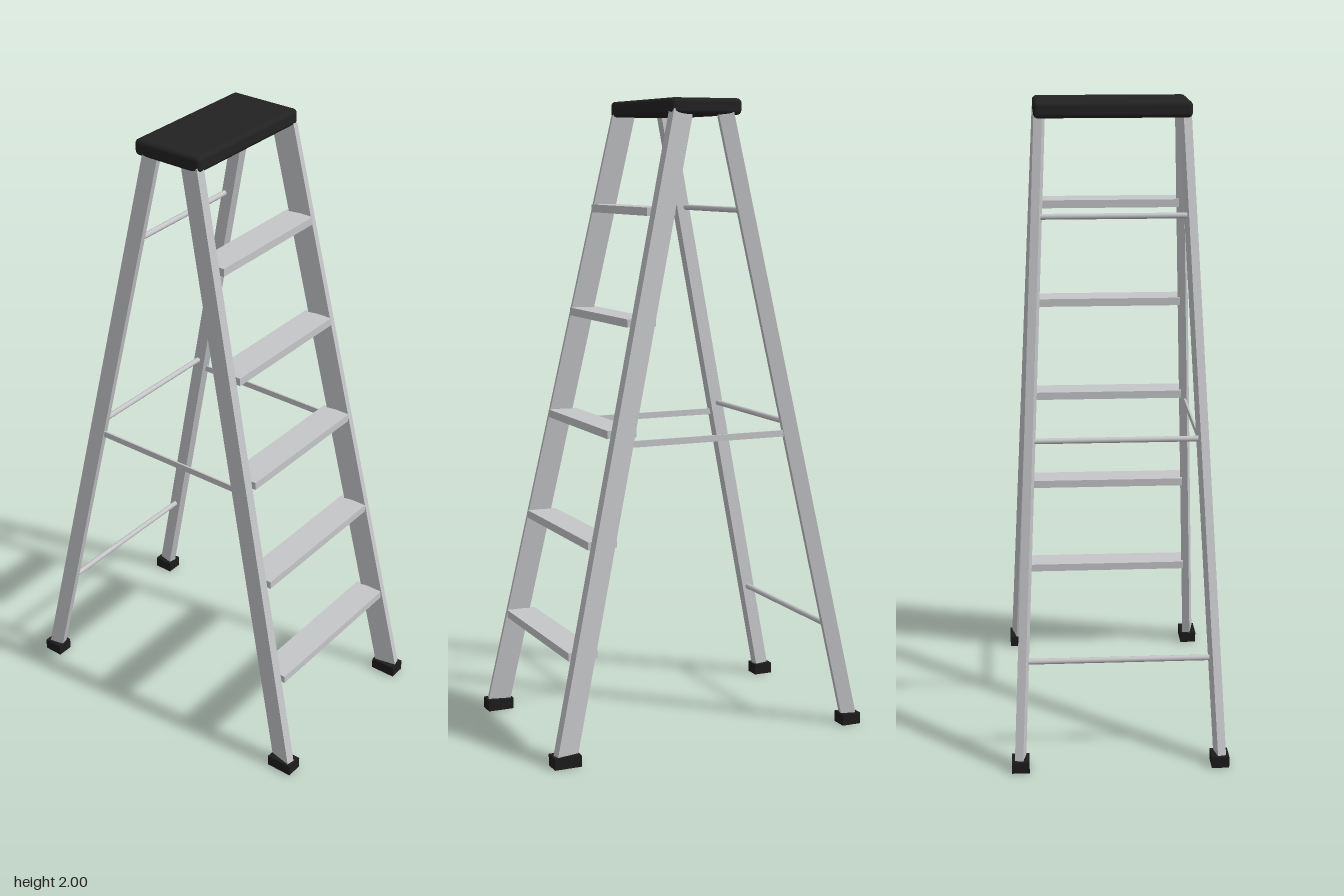
import * as THREE from 'three';
import { RoundedBoxGeometry } from 'three/addons/geometries/RoundedBoxGeometry.js';

function material(name, color) {
  const m = new THREE.MeshStandardMaterial({ color });
  m.name = name;
  return m;
}

export function createModel() {
  const ladder = new THREE.Group();
  ladder.name = 'stepladder';

  const aluminium = material('aluminium', 0xc4c6c8);
  const plastic = material('black plastic', 0x222222);
  const rubber = material('black rubber', 0x1c1c1c);

  function add(name, geometry, mat, x, y, z) {
    const mesh = new THREE.Mesh(geometry, mat);
    mesh.name = name;
    mesh.position.set(x, y, z);
    ladder.add(mesh);
    return mesh;
  }

  // Straight rail between two points; its sides stay upright in plan
  function addRail(name, bottom, top, width, depth) {
    const mid = bottom.clone().add(top).multiplyScalar(0.5);
    const geometry = new THREE.BoxGeometry(width, depth, bottom.distanceTo(top));
    add(name, geometry, aluminium, mid.x, mid.y, mid.z).lookAt(top);
  }

  for (const [side, s] of [['left', 1], ['right', -1]]) {
    // Front and back rails, splayed outwards
    addRail(side + 'FrontRail', new THREE.Vector3(s * 0.309, 0.02, 0.488),
      new THREE.Vector3(s * 0.221, 1.96, 0.062), 0.026, 0.071);
    addRail(side + 'BackRail', new THREE.Vector3(s * 0.309, 0.02, -0.499),
      new THREE.Vector3(s * 0.221, 1.96, -0.086), 0.026, 0.048);

    // Feet
    add(side + 'FrontFoot', new THREE.BoxGeometry(0.054, 0.036, 0.086), rubber, s * 0.308, 0.018, 0.487);
    add(side + 'BackFoot', new THREE.BoxGeometry(0.054, 0.036, 0.064), rubber, s * 0.308, 0.018, -0.498);

    // Flat spreader bar joining front and back
    add(side + 'Spreader', new THREE.BoxGeometry(0.006, 0.02, 0.53), aluminium, s * 0.265, 0.963, -0.013);
  }

  // Steps, with a round rear brace level with every other one
  for (let i = 0; i < 5; i++) {
    const y = 0.328 + i * 0.333;
    const width = 0.558 - i * 0.0285;
    add('step' + (i + 1), new THREE.BoxGeometry(width, 0.025, 0.095), aluminium, 0, y, 0.415 - i * 0.0718);
    if (i % 2 === 0) {
      const brace = new THREE.CylinderGeometry(0.009, 0.009, width, 12).rotateZ(Math.PI / 2);
      add('rearBrace' + (i / 2 + 1), brace, aluminium, 0, y, -0.433 + i * 0.0675);
    }
  }

  // Top cap
  add('topCap', new RoundedBoxGeometry(0.48, 0.05, 0.238, 3, 0.014), plastic, 0, 1.975, -0.018);

  return ladder;
}
